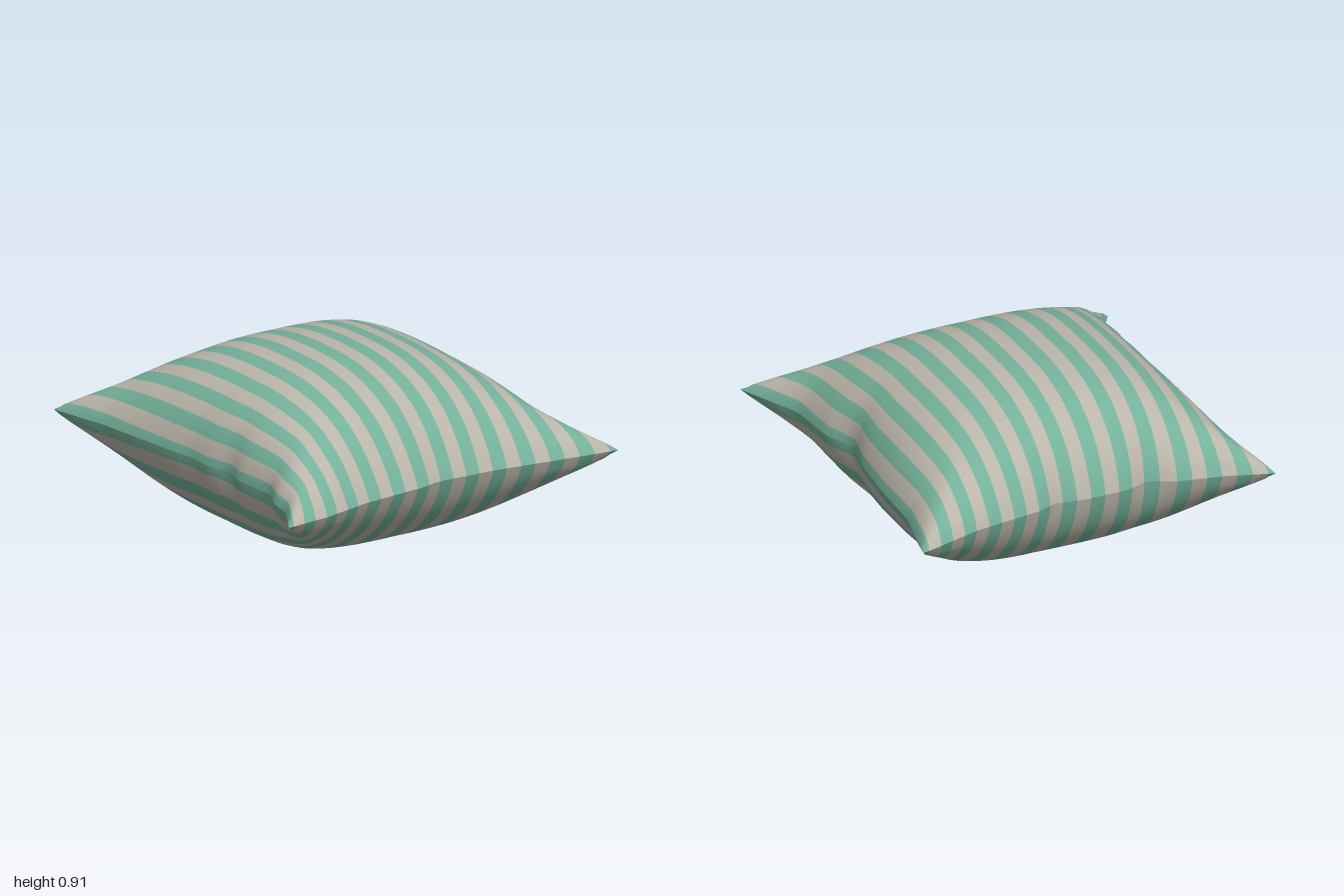
import * as THREE from 'three';

// Piecewise-linear lookup in a list of [t, value]
function lookup(table, t) {
  for (let i = 1; i < table.length; i++) {
    const [t0, a] = table[i - 1], [t1, b] = table[i];
    if (t <= t1) return a + (b - a) * (t - t0) / (t1 - t0);
  }
  return table[table.length - 1][1];
}

// Seam outline in plan: z along the back and front, x along the two sides
const BACK = [[-1, -0.95], [-0.63, -0.86], [-0.28, -0.835], [0, -0.8], [0.19, -0.75], [0.36, -0.815], [0.66, -0.83], [0.8, -0.89], [1, -0.97]];
const FRONT = [[-1, 0.92], [-0.69, 0.86], [-0.13, 0.81], [-0.05, 0.795], [0.1, 0.805], [0.27, 0.775], [0.36, 0.81], [0.62, 0.805], [0.73, 0.86], [0.84, 0.87], [1, 0.965]];
const RIGHT = [[-1, -0.99], [-0.66, -0.89], [-0.27, -0.84], [-0.15, -0.8], [0, -0.83], [0.24, -0.83], [0.37, -0.79], [0.5, -0.86], [0.73, -0.91], [1, -1]];
const LEFT = [[-1, 1], [-0.35, 0.88], [-0.02, 0.85], [0.08, 0.872], [0.44, 0.89], [0.72, 0.94], [1, 0.955]];
const FRONT_HEIGHT = [[-1, 0.48], [0.68, 0.48], [1, 0.45]];
const BACK_HEIGHT = 0.445;

const BAND = 0.077; // stripe width across the cloth
const COLUMNS = 40;
const ROWS_PER_BAND = 2;

const mix = (a, b, t) => a + (b - a) * t;

// Relative thickness of the filling: domed in the middle, straight towards the corners
function bulge(u, v, fullness) {
  const profile = t => Math.max(0, 1 - Math.pow(Math.abs(t), fullness));
  const corner = Math.min(Math.abs(u), Math.abs(v));
  return Math.pow(profile(u) * profile(v), 1 - 0.5 * corner * corner);
}

// Point on the cloth; the edges are pulled in between the corners
function clothPoint(u, v, height, fullness) {
  const s = (u + 1) / 2, t = (v + 1) / 2;
  const pullU = u ** 4, pullV = v ** 4;
  const cornerRight = mix(-0.99, -1, t), cornerLeft = mix(1, 0.955, t);
  const cornerBack = mix(-0.95, -0.97, s), cornerFront = mix(0.92, 0.965, s);
  const sidePull = u < 0 ? lookup(RIGHT, v) - cornerRight : lookup(LEFT, v) - cornerLeft;
  const endPull = v < 0 ? lookup(BACK, u) - cornerBack : lookup(FRONT, u) - cornerFront;
  // The cloth is stretched in the middle and drawn slightly towards the front
  const stretch = v * mix(0.075, 0, u * u) + 0.03 * Math.abs(v) + 0.02 * Math.max(u, 0);
  return [
    mix(cornerRight, cornerLeft, s) + sidePull * pullU,
    mix(BACK_HEIGHT, lookup(FRONT_HEIGHT, u), t) + height * bulge(u, v, fullness),
    mix(cornerBack, cornerFront, t) + endPull * pullV + stretch * (1 - v * v)
  ];
}

// One half of the cover, with a geometry group for every stripe
function coverHalf(height, fullness) {
  const clampV = v => Math.max(-1, Math.min(1, v));
  const rows = [-1], rowMaterial = [];
  for (let j = -13; j <= 13; j++) {
    const start = clampV((j - 0.5) * BAND), end = clampV((j + 0.5) * BAND);
    for (let k = 1; k <= ROWS_PER_BAND; k++) {
      rows.push(mix(start, end, k / ROWS_PER_BAND));
      rowMaterial.push(Math.abs(j % 2));
    }
  }
  const positions = [], indices = [];
  const geometry = new THREE.BufferGeometry();
  for (const v of rows) {
    for (let c = 0; c <= COLUMNS; c++) {
      const u = Math.sin((c / COLUMNS - 0.5) * 2.2) / Math.sin(1.1);
      positions.push(...clothPoint(u, v, height, fullness));
    }
  }
  rowMaterial.forEach((material, r) => {
    geometry.addGroup(indices.length, COLUMNS * 6, material);
    for (let c = 0; c < COLUMNS; c++) {
      const a = r * (COLUMNS + 1) + c, b = a + 1, d = a + COLUMNS + 1, e = d + 1;
      if (height > 0) indices.push(a, d, b, b, d, e);
      else indices.push(a, b, d, b, e, d);
    }
  });
  geometry.setAttribute('position', new THREE.Float32BufferAttribute(positions, 3));
  geometry.setIndex(indices);
  geometry.computeVertexNormals();
  return geometry;
}

export function createModel() {
  const beige = new THREE.MeshStandardMaterial({ color: 0xbab5a9 });
  beige.name = 'beige cloth';
  const green = new THREE.MeshStandardMaterial({ color: 0x74b09a });
  green.name = 'green cloth';

  const pillow = new THREE.Group();
  pillow.name = 'pillow';
  // Separate halves keep the seam sharp
  for (const [name, height, fullness] of [['topCover', 0.444, 2.65], ['bottomCover', -0.46, 3]]) {
    const half = new THREE.Mesh(coverHalf(height, fullness), [beige, green]);
    half.name = name;
    pillow.add(half);
  }
  return pillow;
}
